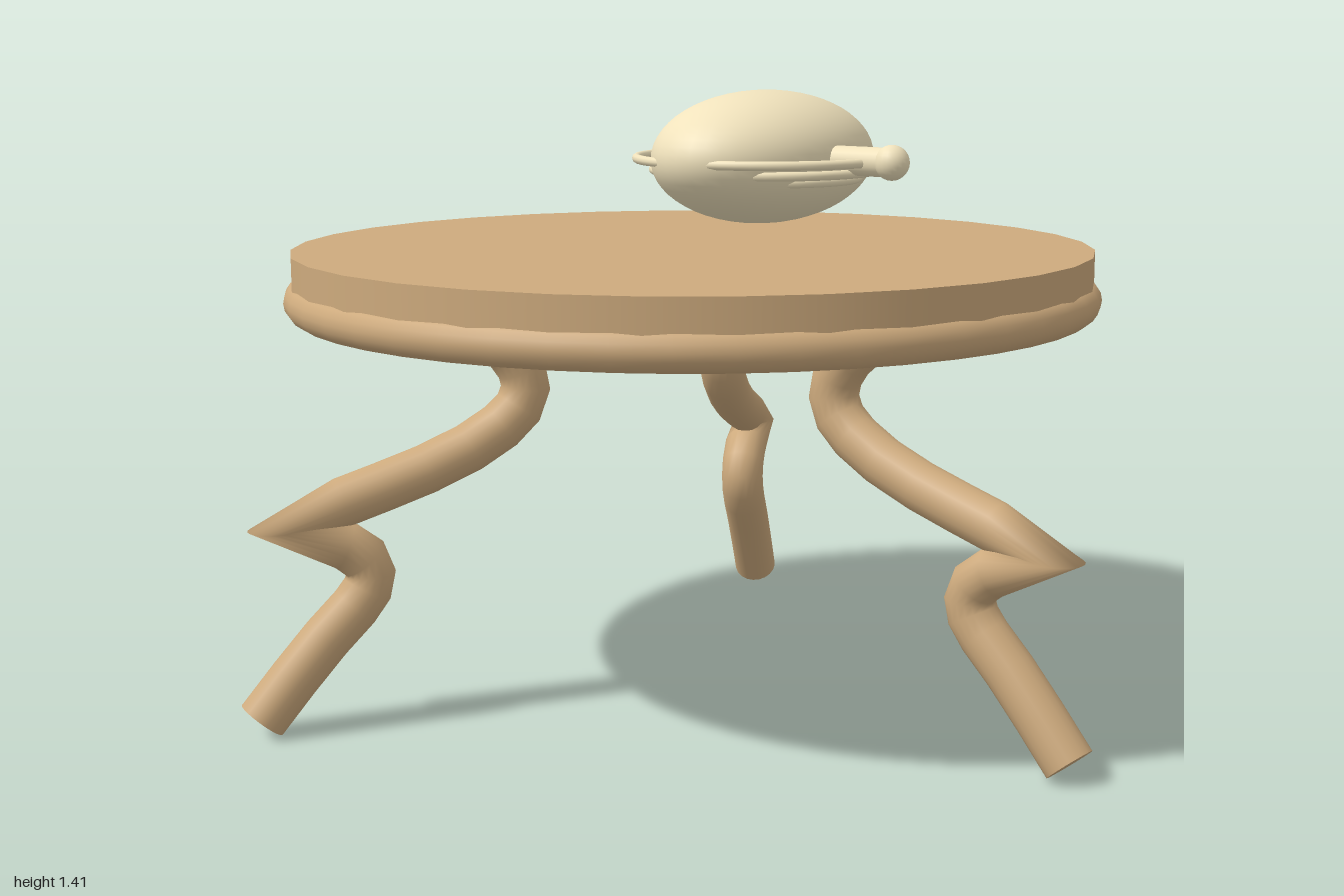
import * as THREE from 'three';

const wood = new THREE.MeshStandardMaterial({ color: 0xcdaa7d });
const cream = new THREE.MeshStandardMaterial({ color: 0xf0e2bc });

function add(parent, name, geometry, material, x = 0, y = 0, z = 0) {
  const mesh = new THREE.Mesh(geometry, material);
  mesh.name = name;
  mesh.position.set(x, y, z);
  parent.add(mesh);
  return mesh;
}

// Leg centre line as [distance from table axis, height], foot to top, with a sharp knee
const LEG_PATH = [
  [1.025, 0.045], [0.95, 0.135], [0.875, 0.22], [0.81, 0.285], [0.78, 0.325], [0.772, 0.36],
  [0.785, 0.395], [0.83, 0.43], [0.985, 0.476], [0.83, 0.527], [0.74, 0.555], [0.64, 0.588],
  [0.54, 0.63], [0.465, 0.675], [0.423, 0.715], [0.406, 0.76], [0.415, 0.805], [0.445, 0.85],
  [0.49, 0.89], [0.55, 0.935], [0.59, 0.965],
];
const LEG_RADIUS = 0.056;

function makeLeg(angle) {
  const leg = new THREE.Group();
  leg.name = 'leg';
  const curve = new THREE.CatmullRomCurve3(
    LEG_PATH.map(([r, y]) => new THREE.Vector3(0, y, r)), false, 'catmullrom', 0.5);
  // One ring exactly on every path point, so the knee stays pointed
  curve.getPointAt = (t, target) => curve.getPoint(t, target);
  curve.getTangentAt = (t, target) => curve.getTangent(t, target);
  add(leg, 'legTube', new THREE.TubeGeometry(curve, LEG_PATH.length - 1, LEG_RADIUS, 20, false), wood);
  // Flat ends
  for (const [name, t, sign] of [['footCap', 0, -1], ['legTopCap', 1, 1]]) {
    const p = curve.getPoint(t);
    const cap = add(leg, name, new THREE.CircleGeometry(LEG_RADIUS, 20), wood, p.x, p.y, p.z);
    cap.quaternion.setFromUnitVectors(
      new THREE.Vector3(0, 0, 1), curve.getTangent(t).multiplyScalar(sign));
  }
  leg.rotation.y = angle;
  return leg;
}

export function createModel() {
  const model = new THREE.Group();
  model.name = 'tableWithOrnament';

  // Table: round top, rounded rim and three legs
  const table = new THREE.Group();
  table.name = 'table';
  table.position.z = -0.065;
  model.add(table);
  add(table, 'tableTop', new THREE.CylinderGeometry(0.918, 0.918, 0.105, 32), wood, 0, 1.015, 0);
  add(table, 'tableRim', new THREE.TorusGeometry(0.889, 0.045, 16, 48), wood, 0, 0.96, 0)
    .rotation.x = Math.PI / 2;
  for (let i = 0; i < 3; i++) table.add(makeLeg(i * Math.PI * 2 / 3));

  // Floating ornament: egg-shaped body, three stacked rings and a knobbed stem
  const ornament = new THREE.Group();
  ornament.name = 'ornament';
  ornament.position.set(0.265, 1.26, -0.065);
  model.add(ornament);
  add(ornament, 'body', new THREE.SphereGeometry(1, 40, 28).scale(0.326, 0.158, 0.222), cream);
  for (const [radius, y] of [[0.305, -0.003], [0.265, -0.03], [0.225, -0.049]]) {
    add(ornament, 'ring', new THREE.TorusGeometry(radius, 0.011, 10, 56), cream, 0, y, 0)
      .rotation.x = Math.PI / 2;
  }
  add(ornament, 'stem', new THREE.CylinderGeometry(0.034, 0.034, 0.2, 20), cream, 0, 0, 0.25)
    .rotation.x = Math.PI / 2;
  add(ornament, 'knob', new THREE.SphereGeometry(0.041, 20, 14), cream, 0, 0, 0.37);

  return model;
}
